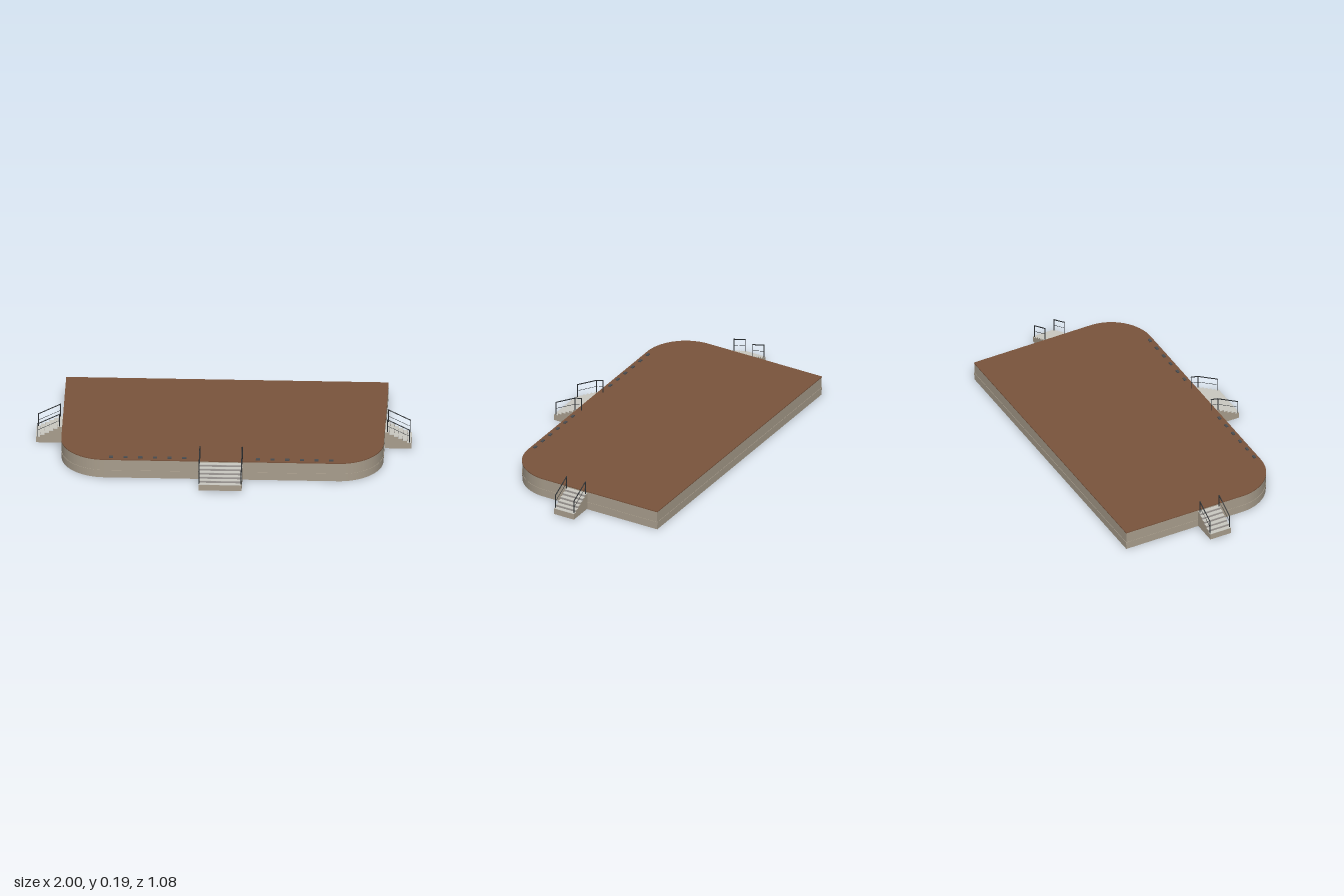
import * as THREE from 'three';

const material = (name, color, side = THREE.FrontSide) => {
  const m = new THREE.MeshStandardMaterial({ color, side });
  m.name = name;
  return m;
};

export function createModel() {
  const wood = material('brown deck', 0x7a543c);
  const stone = material('beige cladding', 0xa89d8c);
  const tread = material('light grey tread', 0xc9c8c1);
  const riser = material('grey riser', 0xa09b97);
  const metal = material('dark metal', 0x2b2f32);
  const lamp = material('lamp grey', 0x4b4d50);

  const model = new THREE.Group();
  model.name = 'stage';

  const add = (parent, name, geometry, mat, x = 0, y = 0, z = 0) => {
    const mesh = new THREE.Mesh(geometry, mat);
    mesh.name = name;
    mesh.position.set(x, y, z);
    parent.add(mesh);
    return mesh;
  };

  // Platform layers: square at the back, rounded at the front corners
  const layer = (name, grow, y0, y1, mat) => {
    const w = 0.857 + grow, back = 0.538 + grow, front = -0.398 - grow, r = 0.235 + grow;
    const s = new THREE.Shape();
    s.moveTo(-w, back);
    s.lineTo(-w, front + r);
    s.absarc(-w + r, front + r, r, Math.PI, Math.PI * 1.5, false);
    s.absarc(w - r, front + r, r, Math.PI * 1.5, Math.PI * 2, false);
    s.lineTo(w, back);
    const g = new THREE.ExtrudeGeometry(s, { depth: y1 - y0, bevelEnabled: false, curveSegments: 20 });
    g.rotateX(-Math.PI / 2);
    add(model, name, g, mat, 0, y0, 0);
  };
  layer('platformBody', 0, 0, 0.105, stone);
  layer('platformBand', 0.002, 0.029, 0.044, stone);
  layer('deck', 0.002, 0.105, 0.11, wood);

  // Round bar between two points
  const bar = (parent, name, a, b, radius) => {
    const from = new THREE.Vector3(...a), to = new THREE.Vector3(...b);
    const dir = to.clone().sub(from);
    const mesh = add(parent, name, new THREE.CylinderGeometry(radius, radius, dir.length(), 8), metal);
    mesh.position.copy(from).add(to).multiplyScalar(0.5);
    mesh.quaternion.setFromUnitVectors(new THREE.Vector3(0, 1, 0), dir.normalize());
  };

  // Stairs descend along local +z from the platform wall
  const stairs = (name, width, railX, extended) => {
    const group = new THREE.Group();
    group.name = name;
    const steps = 6, length = 0.14, run = length / steps, rise = 0.012;
    const s = new THREE.Shape();
    s.moveTo(0, 0.005);
    s.lineTo(length, 0.005);
    for (let i = 0; i < steps; i++) {
      const y = 0.04 + i * rise, z = length - i * run;
      s.lineTo(z, y - 0.002);
      s.lineTo(z - run, y - 0.002);
    }
    const g = new THREE.ExtrudeGeometry(s, { depth: width, bevelEnabled: false });
    g.translate(0, 0, -width / 2);
    g.rotateY(-Math.PI / 2);
    add(group, 'stairBody', g, stone);
    for (let i = 0; i < steps; i++) {
      const y = 0.04 + i * rise, z = length - (i + 0.5) * run;
      add(group, 'tread', new THREE.BoxGeometry(width, 0.002, run), tread, 0, y - 0.001, z);
      if (i > 0) {
        add(group, 'riser', new THREE.BoxGeometry(width, rise - 0.002, 0.001), riser,
          0, y - 0.002 - rise / 2 + 0.001, z + run / 2 + 0.0005);
      }
    }
    // Handrails on both sides
    for (const x of [-railX, railX]) {
      const low = [x, 0.114, 0.13], high = [x, 0.173, 0.013];
      bar(group, 'lowerPost', [x, 0.038, 0.13], low, 0.0025);
      bar(group, 'upperPost', [x, 0.098, 0.013], high, 0.0025);
      bar(group, 'handrail', low, high, 0.0028);
      bar(group, 'middleRail', [x, 0.077, 0.13], [x, 0.136, 0.013], 0.0012);
      for (const p of [low, high]) {
        add(group, 'railJoint', new THREE.SphereGeometry(0.0032, 8, 6), metal, ...p);
      }
      if (extended) {
        const end = [x, 0.182, -0.027];
        bar(group, 'deckPost', [x, 0.11, -0.027], end, 0.0025);
        bar(group, 'handrailEnd', high, end, 0.0028);
        bar(group, 'middleRailEnd', [x, 0.136, 0.013], [x, 0.145, -0.027], 0.0012);
        add(group, 'railJoint', new THREE.SphereGeometry(0.0032, 8, 6), metal, ...end);
      }
    }
    model.add(group);
    return group;
  };
  stairs('frontStairs', 0.23, 0.113, true).position.set(0, 0, 0.4);
  for (const side of [-1, 1]) {
    const group = stairs(side > 0 ? 'leftStairs' : 'rightStairs', 0.124, 0.058, false);
    group.position.set(side * 0.86, 0, -0.045);
    group.rotation.y = side * Math.PI / 2;
  }

  // Footlights along the front edge
  for (const side of [-1, 1]) {
    for (let i = 0; i < 6; i++) {
      const x = side * (0.196 + i * 0.0782);
      add(model, 'footlight', new THREE.BoxGeometry(0.022, 0.006, 0.013), lamp, x, 0.113, 0.377);
    }
  }
  return model;
}
